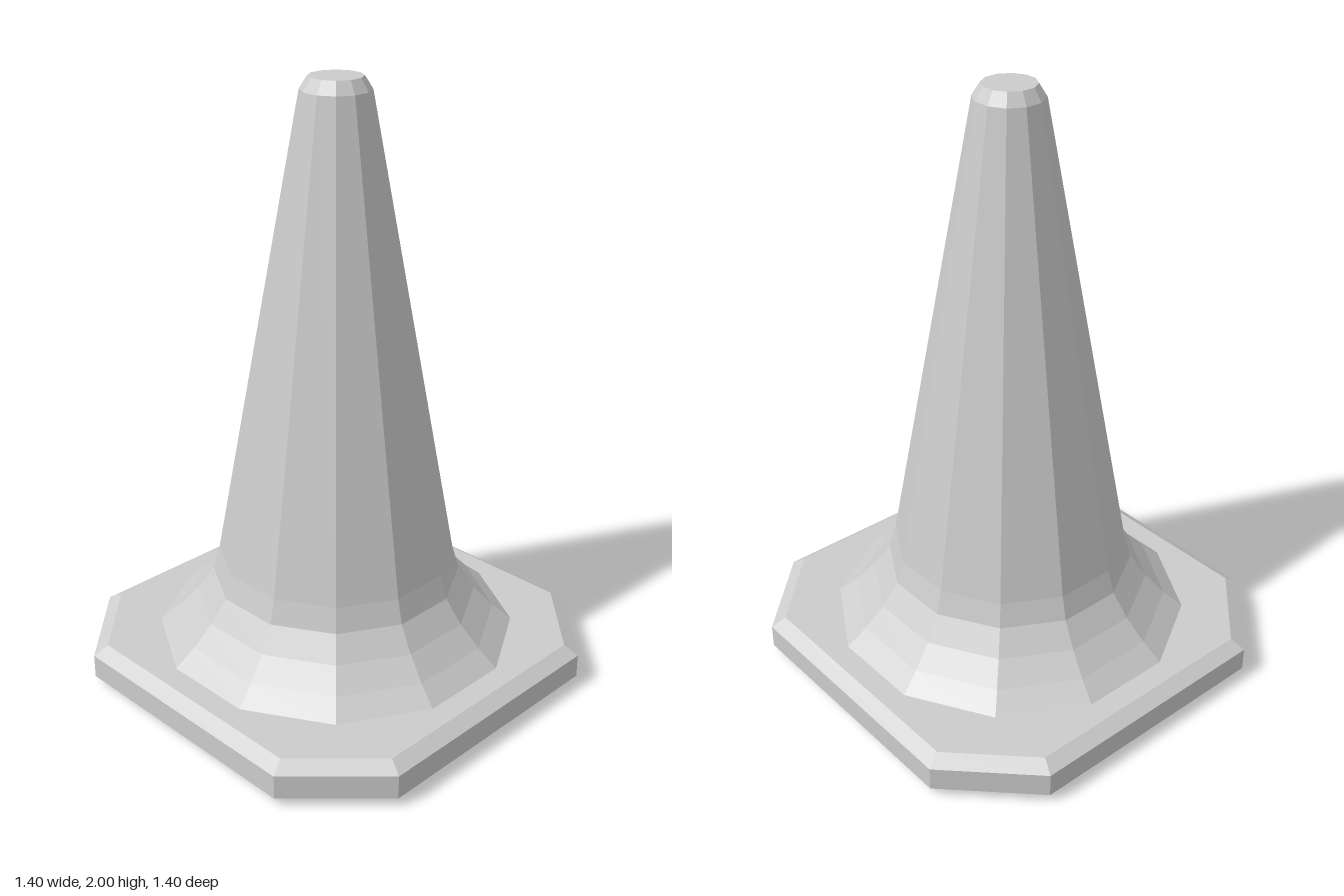
import * as THREE from 'three';

const SIDES = 12;

// Split shared vertices so every face is flat
function faceted(geometry) {
  const flat = geometry.toNonIndexed();
  flat.computeVertexNormals();
  return flat;
}

export function createModel() {
  const model = new THREE.Group();
  model.name = 'trafficCone';
  const grey = new THREE.MeshStandardMaterial({ color: 0xcccccc });
  grey.name = 'light grey';

  // Base: square plate with cut corners, bevelled along both rims
  const half = 0.7, cut = 0.44, bevel = 0.045;
  const outline = new THREE.Shape([
    [cut, -half], [half, -cut], [half, cut], [cut, half],
    [-cut, half], [-half, cut], [-half, -cut], [-cut, -half],
  ].map(([x, y]) => new THREE.Vector2(x, y)));
  const plate = new THREE.ExtrudeGeometry(outline, {
    depth: 0.08, bevelEnabled: true, bevelSegments: 1,
    bevelThickness: 0.03, bevelSize: bevel, bevelOffset: -bevel,
  });
  plate.rotateX(-Math.PI / 2).translate(0, 0.03, 0);
  const base = new THREE.Mesh(plate, grey);
  base.name = 'base';
  model.add(base);

  // Body: flared foot, straight taper and chamfered flat tip
  const profile = [
    [0.6, 0.14], [0.535, 0.195], [0.469, 0.265], [0.414, 0.345],
    [0.391, 0.425], [0.11, 1.96], [0.085, 2], [0, 2],
  ].map(([r, y]) => new THREE.Vector2(r, y));
  const body = new THREE.Mesh(
    faceted(new THREE.LatheGeometry(profile, SIDES, Math.PI / SIDES)), grey);
  body.name = 'coneBody';
  model.add(body);

  return model;
}
